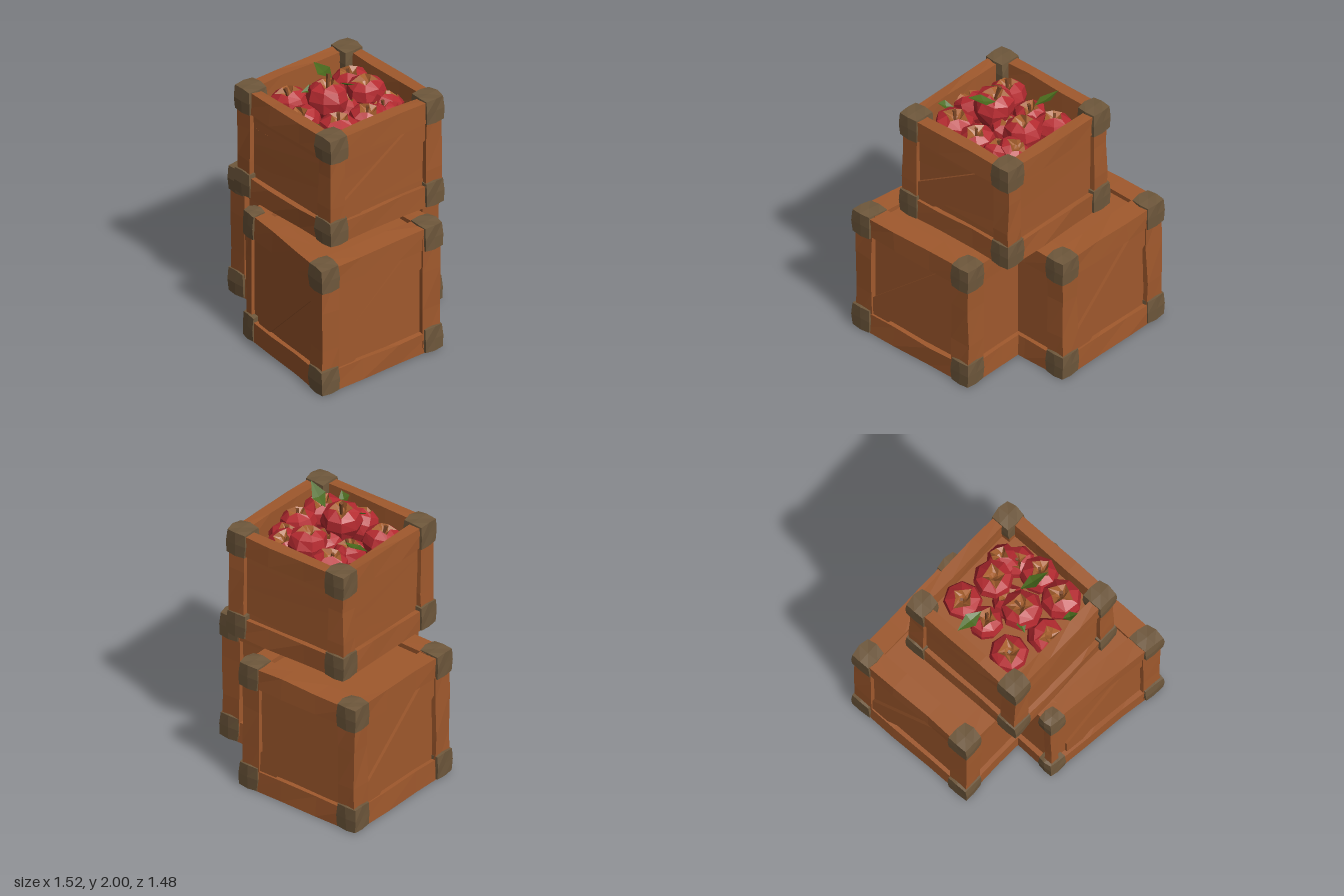
import * as THREE from 'three';

const flat = (name, color) => {
  const m = new THREE.MeshStandardMaterial({ color, flatShading: true });
  m.name = name;
  return m;
};

// Repeatable noise in -1..1 from a position, so shared corners move together
const noise = (x, y, z, k) => {
  const s = Math.sin(Math.round(x * 500) * 12.9898 + Math.round(y * 500) * 78.233 + Math.round(z * 500) * 37.719 + k * 11.3) * 43758.5453;
  return (s - Math.floor(s)) * 2 - 1;
};

// Move every vertex by a rule
function reshape(geo, rule) {
  const p = geo.attributes.position;
  const v = new THREE.Vector3();
  for (let i = 0; i < p.count; i++) {
    rule(v.fromBufferAttribute(p, i), i);
    p.setXYZ(i, v.x, v.y, v.z);
  }
  geo.computeVertexNormals();
  return geo;
}

export function createModel() {
  const wood = flat('wood', 0xa0592d);
  const metal = flat('cornerMetal', 0x6f583c);
  const red = flat('appleRed', 0xb52a30);
  const tan = flat('appleHollow', 0xa8602e);
  const green = flat('leafGreen', 0x4a6a1c);
  green.side = THREE.DoubleSide;
  const bark = flat('stemBrown', 0x7c4726);
  const root = new THREE.Group();
  root.name = 'appleCrates';

  const add = (group, geo, mat, name) => {
    const m = new THREE.Mesh(geo, mat);
    m.name = name;
    group.add(m);
    return m;
  };

  // One framed crate; slant pulls the front left end of the plan backwards
  function crate(name, { x0, x1, y0, y1, z0, z1, w, rim, open, braces, slant = 0, small = false }) {
    const g = new THREE.Group();
    g.name = name;
    root.add(g);
    const cx = (x0 + x1) / 2, cz = (z0 + z1) / 2, cy = (y0 + y1) / 2;
    const hx = (x1 - x0) / 2, hz = (z1 - z0) / 2;
    const H = 0.16, recess = 0.035;
    const warp = (v) => {
      const u = (v.x - x0) / (x1 - x0), t = (v.z - z0) / (z1 - z0);
      v.z -= slant * t * (1 - u);
    };
    // Box between two corners, bowed and roughened a little in the middle
    const slab = (a, b, part, seg = [1, 1, 1], rough = 0) => {
      const geo = new THREE.BoxGeometry(b[0] - a[0], b[1] - a[1], b[2] - a[2], ...seg);
      geo.translate((a[0] + b[0]) / 2, (a[1] + b[1]) / 2, (a[2] + b[2]) / 2);
      reshape(geo, (v) => {
        const { x, y, z } = v;
        v.x += noise(x, y, z, 1) * rough;
        if (y > y0 + 0.01) v.y += noise(x, y, z, 2) * rough - rough * 0.5;
        v.z += noise(x, y, z, 3) * rough;
        warp(v);
      });
      return add(g, geo, wood, part);
    };

    // Rails at the bottom and top of the four sides
    for (const [lo, hi] of [[y0, y0 + H], [y1 - H, y1]]) {
      slab([x0 + 0.04, lo, z1 - rim], [x1 - 0.04, hi, z1], 'frontRail', [3, 1, 1], 0.007);
      slab([x0 + 0.04, lo, z0], [x1 - 0.04, hi, z0 + rim], 'backRail', [3, 1, 1], 0.007);
      slab([x0, lo, z0 + 0.04], [x0 + rim, hi, z1 - 0.04], 'rightRail', [1, 1, 3], 0.007);
      slab([x1 - rim, lo, z0 + 0.04], [x1, hi, z1 - 0.04], 'leftRail', [1, 1, 3], 0.007);
    }

    // Corner posts with a metal cap at each end
    for (const sx of [-1, 1]) for (const sz of [-1, 1]) {
      const tight = small && sx < 0 && sz > 0;
      const pw = tight ? 0.07 : w;
      const px = sx < 0 ? x0 : x1 - pw, pz = sz < 0 ? z0 : z1 - pw;
      slab([px, y0 + 0.05, pz], [px + pw, y1 - 0.05, pz + pw], 'post', [1, 3, 1], 0.007);
      const s = tight ? 0.13 : 0.165;
      for (const top of [0, 1]) {
        const geo = reshape(new THREE.BoxGeometry(s, 0.19, s, 2, 2, 2), (v) => {
          const { x, y, z } = v;
          const edges = [x, y, z].filter((c) => Math.abs(c) > 0.01).length;
          v.multiplyScalar(edges === 3 ? 0.92 : 1);
          v.x += noise(x, y, z, sx + 4) * 0.005;
          v.z += noise(x, y, z, sz + 7) * 0.005;
          v.x += sx < 0 ? x0 - 0.018 + s / 2 : x1 + 0.018 - s / 2;
          v.z += sz < 0 ? z0 - 0.018 + s / 2 : z1 + 0.018 - s / 2;
          v.y += top ? y1 + 0.012 - 0.095 : y0 + 0.095;
          warp(v);
        });
        add(g, geo, metal, 'cornerCap');
      }
    }

    // Recessed boards
    const r = recess;
    if (open) {
      const lo = y0 + 0.01, hi = y1 - 0.03, t = r + 0.03;
      slab([x0 + r, lo, z1 - t], [x1 - r, hi, z1 - r], 'frontBoards', [1, 4, 1], 0.004);
      slab([x0 + r, lo, z0 + r], [x1 - r, hi, z0 + t], 'backBoards', [1, 4, 1], 0.004);
      slab([x0 + r, lo, z0 + r], [x0 + t, hi, z1 - r], 'rightBoards', [1, 4, 1], 0.004);
      slab([x1 - t, lo, z0 + r], [x1 - r, hi, z1 - r], 'leftBoards', [1, 4, 1], 0.004);
      slab([x0 + r, lo, z0 + r], [x1 - r, y1 - 0.28, z1 - r], 'innerFloor');
    } else {
      slab([x0 + r, y0 + 0.002, z0 + r], [x1 - r, y1 - 0.035, z1 - r], 'boards');
    }

    // Diagonal braces; a quarter turn steps front, left side, back, right side
    for (const q of braces) {
      const along = (q % 2 ? hz : hx) - w, out = (q % 2 ? hx : hz) - r - 0.005;
      const h = (y1 - y0) / 2 - H, c = 0.14;
      const shape = new THREE.Shape([
        [-along, -h], [-along + c, -h], [along, h - c], [along, h], [along - c, h], [-along, -h + c],
      ].map(([x, y]) => new THREE.Vector2(x, y)));
      const geo = new THREE.ExtrudeGeometry(shape, { depth: 0.027, bevelEnabled: false });
      geo.translate(0, 0, out).rotateY(q * Math.PI / 2).translate(cx, cy, cz);
      add(g, reshape(geo, warp), wood, 'brace');
    }
  }

  crate('backCrate', { x0: -0.74, x1: 0.24, y0: 0, y1: 0.97, z0: -0.72, z1: 0.295, w: 0.145, rim: 0.14, braces: [2, 3] });
  crate('frontCrate', { x0: -0.22, x1: 0.74, y0: 0, y1: 0.97, z0: -0.31, z1: 0.725, w: 0.15, rim: 0.14, braces: [0, 1], slant: 0.125, small: true });
  crate('topCrate', { x0: -0.45, x1: 0.535, y0: 0.98, y1: 1.8, z0: -0.49, z1: 0.48, w: 0.13, rim: 0.085, open: true, braces: [1] });

  // Apples: faceted body with a star-edged hollow and a short stem
  const profile = (pts) => pts.map(([x, y]) => new THREE.Vector2(x, y));
  const bodyProfile = profile([[0, -0.8], [0.45, -0.88], [0.85, -0.45], [1, 0.1], [0.88, 0.6], [0.55, 0.86]]);
  const cupProfile = profile([[0.55, 0.86], [0.22, 0.62], [0, 0.4]]);
  const star = [1, 0.7, 1.2, 0.75, 1.05, 0.65, 1.25, 0.8];
  function apple([x, y, z, r, tiltX, tiltZ, stem], n) {
    const g = new THREE.Group();
    g.name = 'apple';
    const lathe = (pts, rimIndex, mat, name) => {
      const geo = new THREE.LatheGeometry(pts, 8);
      reshape(geo, (v, i) => {
        const seg = Math.floor(i / pts.length) % 8;
        if (i % pts.length === rimIndex) {
          v.x *= star[seg];
          v.z *= star[seg];
          v.y -= (star[seg] - 0.9) * 0.3;
        } else if (mat === red) {
          v.multiplyScalar(1 + noise(seg, i % pts.length, n, 5) * (v.x || v.z ? 0.04 : 0));
        }
      });
      add(g, geo, mat, name);
    };
    lathe(bodyProfile, 5, red, 'appleSkin');
    lathe(cupProfile, 0, tan, 'appleHollow');
    if (stem) {
      const s = add(g, new THREE.CylinderGeometry(0.11, 0.06, stem, 4), bark, 'stem');
      s.position.set(-0.05, 0.4 + stem / 2, 0);
      s.rotation.z = 0.15;
    }
    g.scale.setScalar(r);
    g.position.set(x, y, z);
    g.rotation.set(tiltX, n * 0.9, tiltZ);
    root.add(g);
  }
  [
    [-0.15, 1.66, -0.27, 0.135, 0.1, 0.15, 0.5],
    [0.08, 1.72, -0.21, 0.138, 0.1, 0, 0],
    [0.24, 1.67, -0.25, 0.12, -0.3, -0.2, 0],
    [0.31, 1.66, -0.18, 0.115, 0.1, -0.3, 0.6],
    [-0.16, 1.65, -0.05, 0.12, 0, 0.1, 0.7],
    [0.06, 1.64, -0.03, 0.125, -0.2, 0.1, 0],
    [0.04, 1.77, 0.1, 0.145, 0, 0.15, 0.85],
    [0.325, 1.68, -0.01, 0.132, 0, -0.15, 0.6],
    [-0.22, 1.65, 0.21, 0.137, 0, 0.15, 0.6],
    [0.3, 1.67, 0.22, 0.145, 0, -0.1, 0.7],
    [0.04, 1.66, 0.3, 0.125, 0.5, 0, 0],
  ].forEach(apple);

  // Leaves: folded along the middle, from base to tip
  function leaf(base, tip, width) {
    const a = new THREE.Vector3(...base), b = new THREE.Vector3(...tip);
    const dir = b.clone().sub(a);
    const side = new THREE.Vector3(-dir.z, 0, dir.x).normalize().multiplyScalar(width / 2);
    const mid = a.clone().lerp(b, 0.45);
    mid.y -= 0.012;
    const l = mid.clone().add(side), r = mid.clone().sub(side);
    l.y += 0.025;
    const geo = new THREE.BufferGeometry().setFromPoints([a, l, mid, mid, l, b, a, mid, r, mid, b, r]);
    geo.computeVertexNormals();
    add(root, geo, green, 'leaf');
  }
  leaf([0.11, 1.9, 0.015], [0.3, 2, 0.095], 0.1);
  leaf([-0.15, 1.78, -0.1], [-0.37, 1.8, -0.12], 0.1);
  leaf([0.19, 1.74, 0.33], [0.28, 1.79, 0.4], 0.08);
  leaf([-0.03, 1.86, 0.13], [-0.08, 1.82, 0.23], 0.07);

  return root;
}
